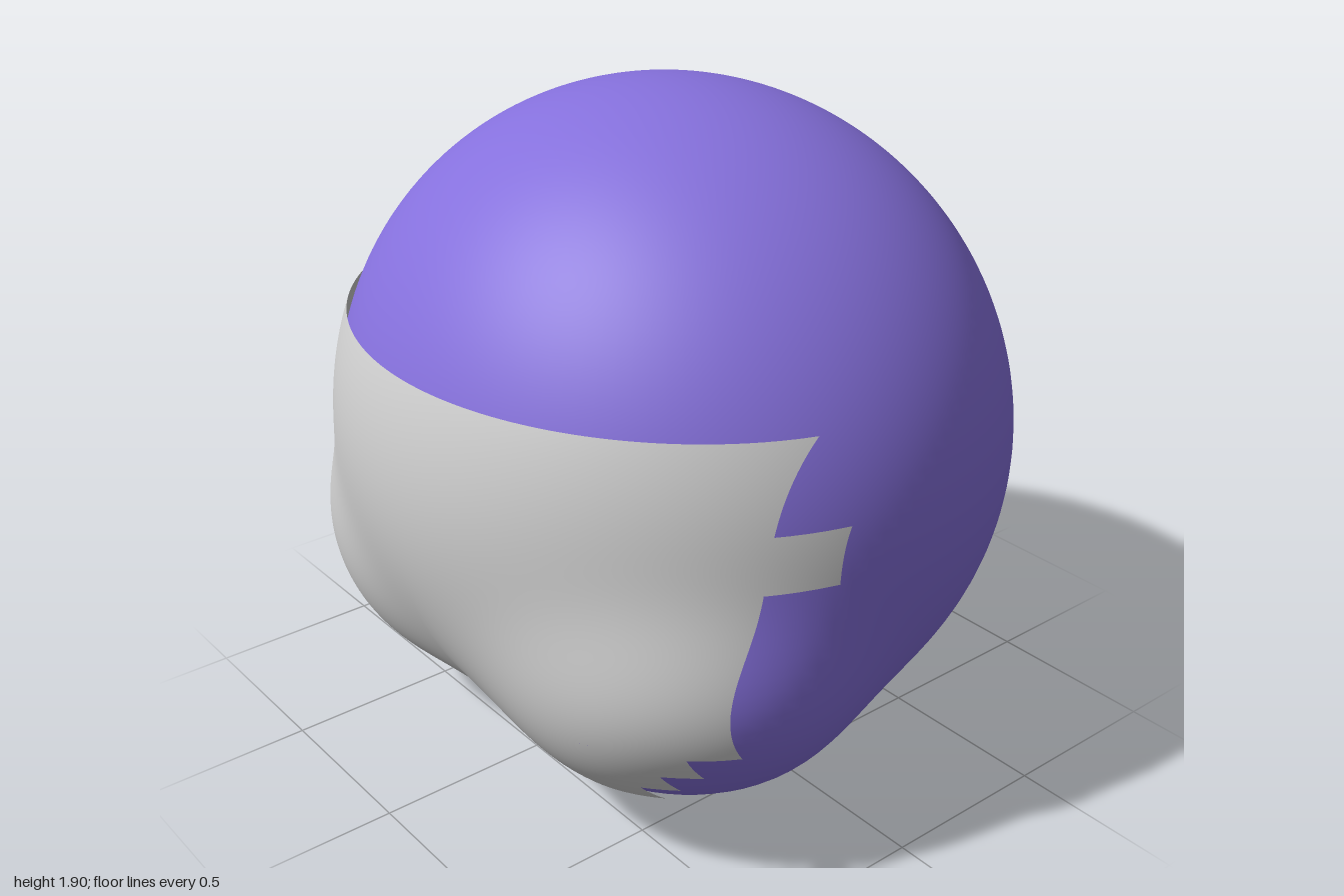
import * as THREE from 'three';

const RX = 1, RY = 0.95, RZ = 0.92, CY = 0.95, CZ = -0.008;
const MASK_SCALE = 1.015;

// Radius along a unit direction: a ball with two wide, soft cheeks
function radius(x, y, z) {
  const dx = Math.abs(x) - 0.65, dy = y + 0.55, dz = z - 0.53;
  const d = Math.sqrt(0.64 * (dx * dx + dz * dz) + dy * dy);
  return 1 + 0.165 * Math.exp(-Math.pow(d / 0.38, 3));
}

// Positive outside the head, negative inside
function field(x, y, z, scale) {
  const a = x / RX, b = (y - CY) / RY, c = (z - CZ) / RZ;
  const len = Math.hypot(a, b, c) || 1e-6;
  return len - scale * radius(a / len, b / len, c / len);
}

// Smooth normals from the slope of the field
function setNormals(geo, scale) {
  const p = geo.attributes.position, n = geo.attributes.normal, v = new THREE.Vector3(), e = 0.002;
  for (let i = 0; i < p.count; i++) {
    const x = p.getX(i), y = p.getY(i), z = p.getZ(i);
    v.set(
      field(x + e, y, z, scale) - field(x - e, y, z, scale),
      field(x, y + e, z, scale) - field(x, y - e, z, scale),
      field(x, y, z + e, scale) - field(x, y, z - e, scale)
    ).normalize();
    n.setXYZ(i, v.x, v.y, v.z);
  }
  return geo;
}

// Frontmost surface point at (x, y): march inwards, then bisect
function frontZ(x, y, scale) {
  let hi = 1.2;
  while (hi > 0 && field(x, y, hi, scale) > 0) hi -= 0.01;
  let lo = hi;
  hi += 0.01;
  for (let i = 0; i < 20; i++) {
    const mid = (lo + hi) / 2;
    if (field(x, y, mid, scale) > 0) hi = mid; else lo = mid;
  }
  return hi;
}

function headGeometry() {
  const geo = new THREE.SphereGeometry(1, 128, 96);
  const p = geo.attributes.position;
  for (let i = 0; i < p.count; i++) {
    const x = p.getX(i), y = p.getY(i), z = p.getZ(i), r = radius(x, y, z);
    p.setXYZ(i, x * r * RX, y * r * RY + CY, z * r * RZ + CZ);
  }
  return setNormals(geo, 1);
}

// Rectangle draped over the front of the head
function drape(x0, x1, y0, y1) {
  const step = 0.019;
  const geo = new THREE.PlaneGeometry(x1 - x0, y1 - y0,
    Math.ceil((x1 - x0) / step), Math.ceil((y1 - y0) / step));
  geo.translate((x0 + x1) / 2, (y0 + y1) / 2, 0);
  const p = geo.attributes.position;
  for (let i = 0; i < p.count; i++) p.setZ(i, frontZ(p.getX(i), p.getY(i), MASK_SCALE));
  return setNormals(geo, MASK_SCALE);
}

export function createModel() {
  const group = new THREE.Group();
  const purple = new THREE.MeshStandardMaterial({ color: 0x8570dc });
  purple.name = 'purple';
  const grey = new THREE.MeshStandardMaterial({ color: 0xd0d0d0, side: THREE.DoubleSide });
  grey.name = 'lightGrey';

  const head = new THREE.Mesh(headGeometry(), purple);
  head.name = 'head';
  group.add(head);

  // Face plate with stepped lower corners and a tab on each side
  const face = new THREE.Group();
  face.name = 'facePlate';
  const add = (name, ...box) => {
    const mesh = new THREE.Mesh(drape(...box), grey);
    mesh.name = name;
    face.add(mesh);
  };
  add('facePanel', -0.9, 0.9, 0.465, 1.285);
  [[0.82, 0.385, 0.465], [0.745, 0.31, 0.385], [0.67, 0.235, 0.31]]
    .forEach(([w, y0, y1], i) => add('chinStep' + (i + 1), -w, w, y0, y1));
  add('leftTab', 0.9, 0.975, 0.91, 1.06);
  add('rightTab', -0.975, -0.9, 0.91, 1.06);
  group.add(face);

  return group;
}
